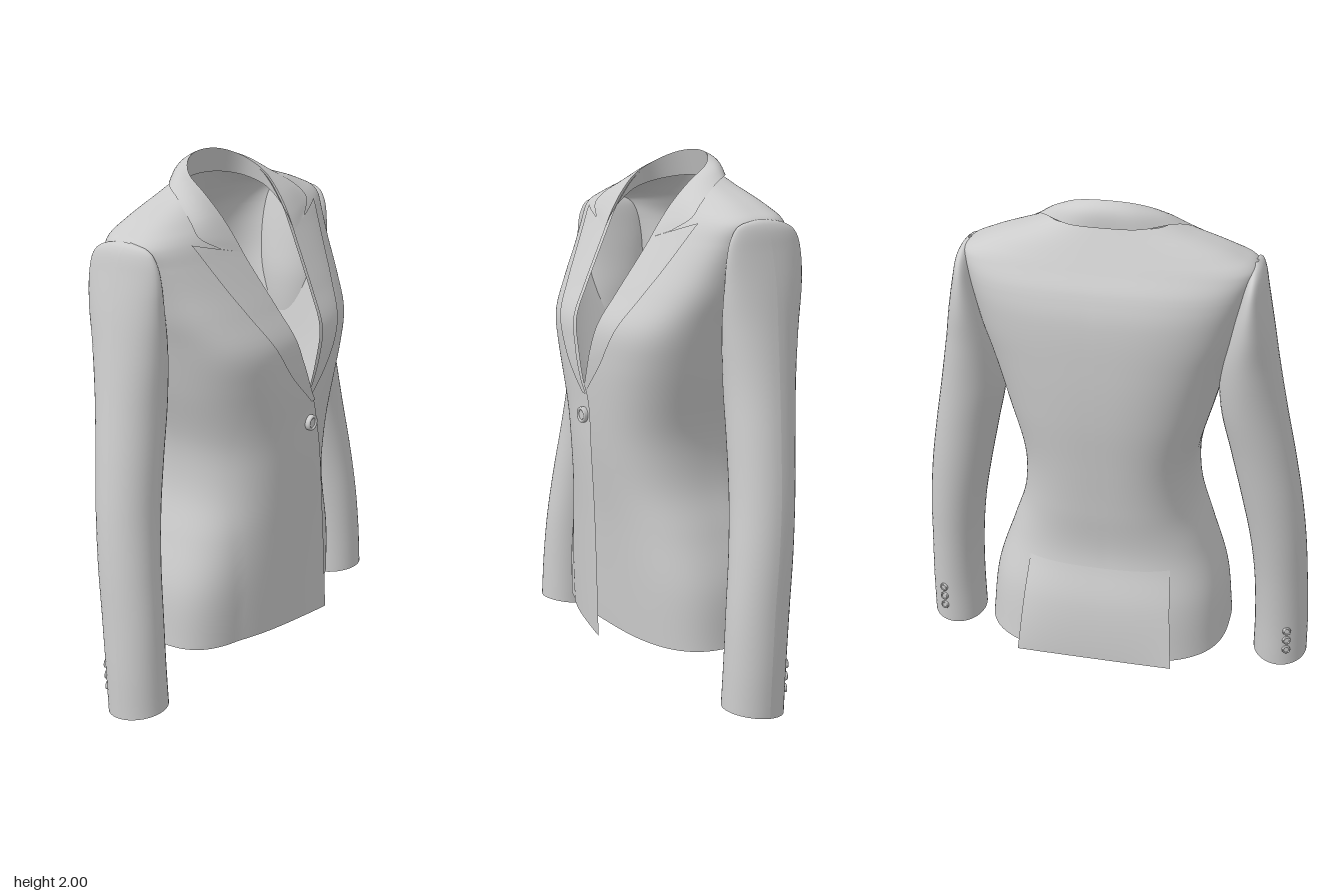
import * as THREE from 'three';

const cloth = new THREE.MeshStandardMaterial({ color: 0xcccccc, side: THREE.DoubleSide });

// Smooth curve through [y, value] pairs
function profile(pts) {
  const slope = (i) => {
    const a = pts[Math.max(i - 1, 0)], b = pts[Math.min(i + 1, pts.length - 1)];
    return (b[1] - a[1]) / (b[0] - a[0]);
  };
  return (y) => {
    if (y <= pts[0][0]) return pts[0][1];
    let i = 0;
    while (i < pts.length - 2 && y > pts[i + 1][0]) i++;
    const [y0, v0] = pts[i], [y1, v1] = pts[i + 1], h = y1 - y0;
    const t = Math.min((y - y0) / h, 1), u = 1 - t;
    return v0 * u * u * (1 + 2 * t) + v1 * t * t * (3 - 2 * t) + h * t * u * (slope(i) * u - slope(i + 1) * t);
  };
}

// Surface from a rule fn(u, v) -> [x, y, z]
function surface(name, nu, nv, fn) {
  const pos = [], idx = [];
  for (let j = 0; j <= nv; j++) for (let i = 0; i <= nu; i++) pos.push(...fn(i / nu, j / nv));
  for (let j = 0; j < nv; j++) for (let i = 0; i < nu; i++) {
    const a = j * (nu + 1) + i, b = a + nu + 1;
    idx.push(a, a + 1, b, b, a + 1, b + 1);
  }
  const g = new THREE.BufferGeometry();
  g.setAttribute('position', new THREE.Float32BufferAttribute(pos, 3));
  g.setIndex(idx);
  g.computeVertexNormals();
  const m = new THREE.Mesh(g, cloth);
  m.name = name;
  return m;
}

// Body profiles by height: half width, front, back, ridge line, roundness, front opening
const HEM = 0.175, TOP = 1.91;
const width = profile([[HEM, 0.49], [0.4, 0.465], [0.6, 0.4], [0.75, 0.35], [0.88, 0.335], [1, 0.345], [1.2, 0.4],
  [1.4, 0.452], [1.5, 0.482], [1.6, 0.505], [1.7, 0.53], [1.765, 0.545], [1.79, 0.527], [1.81, 0.487], [1.835, 0.43],
  [1.86, 0.36], [1.88, 0.3], [TOP, 0.22]]);
const front = profile([[HEM, 0.285], [0.6, 0.31], [0.9, 0.345], [1.1, 0.36], [1.25, 0.363], [1.38, 0.35], [1.5, 0.285],
  [1.6, 0.225], [1.7, 0.165], [1.77, 0.125], [1.83, 0.085], [TOP, 0.03]]);
const back = profile([[HEM, -0.375], [0.4, -0.345], [0.6, -0.3], [0.8, -0.31], [1, -0.325], [1.2, -0.34], [1.4, -0.343],
  [1.6, -0.332], [1.7, -0.302], [1.77, -0.258], [1.83, -0.22], [1.87, -0.195], [TOP, -0.17]]);
const ridge = profile([[HEM, 0], [1.2, 0], [1.5, -0.04], [1.7, -0.065], [TOP, -0.055]]);
const frontPower = profile([[HEM, 2.9], [0.9, 2.7], [1.15, 2.9], [1.35, 3.4], [1.6, 3.6], [1.74, 3.6], [1.83, 2.8], [TOP, 2.5]]);
const backPower = profile([[HEM, 2.8], [0.6, 2.7], [1.2, 2.6], [1.6, 2.8], [1.74, 2.9], [TOP, 2.6]]);
const opening = profile([[HEM, -0.12], [0.5, -0.1], [0.8, -0.075], [1, -0.05], [1.1, -0.028], [1.16, 0.005], [1.3, 0.06],
  [1.4, 0.093], [1.6, 0.143], [1.7, 0.165], [1.8, 0.181], [TOP, 0.19]]);
// How far the overlapping front stands off the one beneath
const overlap = profile([[HEM, 0.105], [0.6, 0.078], [0.9, 0.04], [1.05, 0.018], [1.15, 0.012], [1.3, 0]]);

// Depth of the body surface at (x, y), front or back
function bodyZ(x, y, edge, power) {
  const k = Math.min(Math.abs(x) / width(y), 1), c = ridge(y), n = power(y);
  return c + (edge(y) - c) * (1 - k ** n) ** (1 / n);
}
const frontZ = (x, y) => bodyZ(x, y, front, frontPower);

function bodyHalf(side) {
  return surface(side > 0 ? 'leftBody' : 'rightBody', 64, 100, (u, v) => {
    const y = v < 0.6 ? HEM + (1.68 - HEM) * v / 0.6 : 1.68 + (TOP - 1.68) * (v - 0.6) / 0.4;
    const w = width(y), x0 = opening(y), c = ridge(y), n = frontPower(y);
    const start = Math.asin(Math.sign(x0) * Math.min(Math.abs(x0) / w, 1) ** (n / 2));
    const a = start + (Math.PI - start) * u, sn = Math.sin(a), cs = Math.cos(a);
    const e = 2 / (cs > 0 ? n : backPower(y));
    const x = u === 1 ? 0 : w * Math.sign(sn) * Math.abs(sn) ** e;
    let z = c + (cs > 0 ? front(y) - c : c - back(y)) * Math.sign(cs) * Math.abs(cs) ** e;
    if (side < 0 && cs > 0) z += overlap(y) * THREE.MathUtils.clamp((0.3 - x) / 0.42, 0, 1);
    return [side * x, y, z];
  });
}

// Centre back panel hanging free between the two vents
function ventPanel() {
  return surface('backVentPanel', 32, 20, (u, v) => {
    const y = HEM + 0.38 * v, x = (u * 2 - 1) * (0.31 - 0.03 * v), k = (1 - v) ** 1.3;
    const z = bodyZ(x, y, back, backPower);
    return [x, y, z + (-0.388 - z) * k * 0.95 - 0.003];
  });
}

// Sleeve profiles by height
const sleeveIn = profile([[0.02, 0.585], [0.2, 0.585], [0.4, 0.575], [0.6, 0.55], [0.8, 0.51], [1, 0.465], [1.2, 0.422],
  [1.4, 0.42], [1.55, 0.45], [1.68, 0.485], [1.745, 0.505], [1.775, 0.52], [1.787, 0.53]]);
const sleeveOut = profile([[0.02, 0.806], [0.2, 0.802], [0.4, 0.79], [0.6, 0.775], [0.8, 0.75], [1, 0.715], [1.2, 0.675],
  [1.4, 0.637], [1.55, 0.61], [1.68, 0.583], [1.745, 0.569], [1.775, 0.555], [1.787, 0.54]]);
const sleeveBack = profile([[0.02, -0.045], [0.2, -0.055], [0.4, -0.075], [0.6, -0.1], [0.8, -0.125], [1, -0.15],
  [1.2, -0.18], [1.4, -0.212], [1.55, -0.232], [1.68, -0.225], [1.745, -0.195], [1.775, -0.14], [1.787, -0.07]]);
const sleeveFront = profile([[0.02, 0.19], [0.2, 0.18], [0.4, 0.165], [0.6, 0.14], [0.8, 0.115], [1, 0.1], [1.2, 0.09],
  [1.4, 0.09], [1.55, 0.09], [1.68, 0.085], [1.745, 0.065], [1.775, 0.03], [1.787, -0.04]]);

function sleevePoint(a, y, grow = 0) {
  const xi = sleeveIn(y), xo = sleeveOut(y), zb = sleeveBack(y), zf = sleeveFront(y);
  const x = (xi + xo) / 2 + ((xo - xi) / 2 + grow) * Math.cos(a);
  const z = (zb + zf) / 2 + ((zf - zb) / 2 + grow) * Math.sin(a);
  return [x, y + 0.17 * (z - 0.072) * Math.max(0, 1 - y / 0.4), z];
}

function sleeve(side) {
  return surface(side > 0 ? 'leftSleeve' : 'rightSleeve', 40, 70, (u, v) => {
    const y = v < 0.75 ? 0.02 + 1.58 * v / 0.75 : 1.6 + 0.187 * Math.sin((v - 0.75) / 0.25 * Math.PI / 2);
    const [x, py, z] = sleevePoint(u * 2 * Math.PI, y);
    return [side * x, py, z];
  });
}

// Peaked lapel lying on the chest
function lapel(side) {
  const edge = new THREE.CatmullRomCurve3([[0, 1.11], [0.13, 1.25], [0.23, 1.42], [0.31, 1.58], [0.362, 1.7], [0.392, 1.77]]
    .map(([x, y]) => new THREE.Vector3(x, y, 0)));
  return surface(side > 0 ? 'leftLapel' : 'rightLapel', 16, 40, (u, v) => {
    const o = edge.getPoint(v), yi = 1.11 + 0.59 * v, xi = opening(yi);
    const x = xi + (o.x - xi) * u, y = yi + (o.y - yi) * u;
    const lift = 0.003 + 0.009 * Math.min(1, v * 4) + (side < 0 ? overlap(y) : 0);
    return [side * x, y, frontZ(x, y) + lift];
  });
}

// Mirrored curve from the left notch round the nape to the right notch
function neckCurve(half) {
  const pts = half.map(([x, y, z]) => new THREE.Vector3(x, y, z ?? frontZ(x, y) + 0.013));
  const other = pts.slice(0, -1).reverse().map((p) => new THREE.Vector3(-p.x, p.y, p.z));
  return new THREE.CatmullRomCurve3([...pts, ...other]);
}

function collar() {
  const fold = neckCurve([[0.165, 1.7], [0.176, 1.76], [0.186, 1.83], [0.192, 1.9, 0.025], [0.17, 1.953, -0.06],
    [0.1, 1.988, -0.115], [0, 2, -0.135]]);
  const outer = neckCurve([[0.27, 1.733], [0.345, 1.785], [0.335, 1.828], [0.28, 1.89, -0.03], [0.235, 1.915, -0.1],
    [0.13, 1.912, -0.17], [0, 1.912, -0.184]]);
  const g = new THREE.Group();
  g.name = 'collar';
  g.add(surface('collarFall', 8, 72, (u, v) => {
    const p = fold.getPoint(v).lerp(outer.getPoint(v), u);
    const b = 0.014 * Math.sin(Math.PI * u) * Math.sin(Math.PI * v);
    return [p.x, p.y + b, p.z + b * Math.cos(v * 2 * Math.PI)];
  }));
  g.add(surface('collarStand', 3, 72, (u, v) => {
    const p = fold.getPoint(v), k = u * Math.sin(Math.PI * v) ** 2;
    return [p.x * (1 + 0.08 * k), p.y - 0.1 * k, p.z - 0.03 * k];
  }));
  return g;
}

function button(name, r, at, dir) {
  const g = new THREE.Group();
  g.name = name;
  const disc = new THREE.Mesh(new THREE.CylinderGeometry(r, r, r * 0.45, 24).rotateX(Math.PI / 2), cloth);
  const rim = new THREE.Mesh(new THREE.TorusGeometry(r * 0.82, r * 0.2, 8, 24).translate(0, 0, r * 0.22), cloth);
  disc.name = 'buttonDisc';
  rim.name = 'buttonRim';
  g.add(disc, rim);
  g.position.set(...at);
  g.quaternion.setFromUnitVectors(new THREE.Vector3(0, 0, 1), dir.normalize());
  return g;
}

export function createModel() {
  const jacket = new THREE.Group();
  jacket.name = 'jacket';
  for (const side of [1, -1]) {
    jacket.add(bodyHalf(side), sleeve(side), lapel(side));
    // Three cuff buttons on the back of each sleeve
    const a = -1.25;
    for (const y of [0.19, 0.145, 0.1]) {
      const [x, py, z] = sleevePoint(a, y, 0.003);
      jacket.add(button('cuffButton', 0.017, [side * x, py, z], new THREE.Vector3(side * Math.cos(a), 0, Math.sin(a))));
    }
  }
  jacket.add(collar(), ventPanel());
  jacket.add(button('frontButton', 0.03, [0, 1.025, front(1.025) + overlap(1.025)], new THREE.Vector3(0, 0, 1)));
  return jacket;
}
